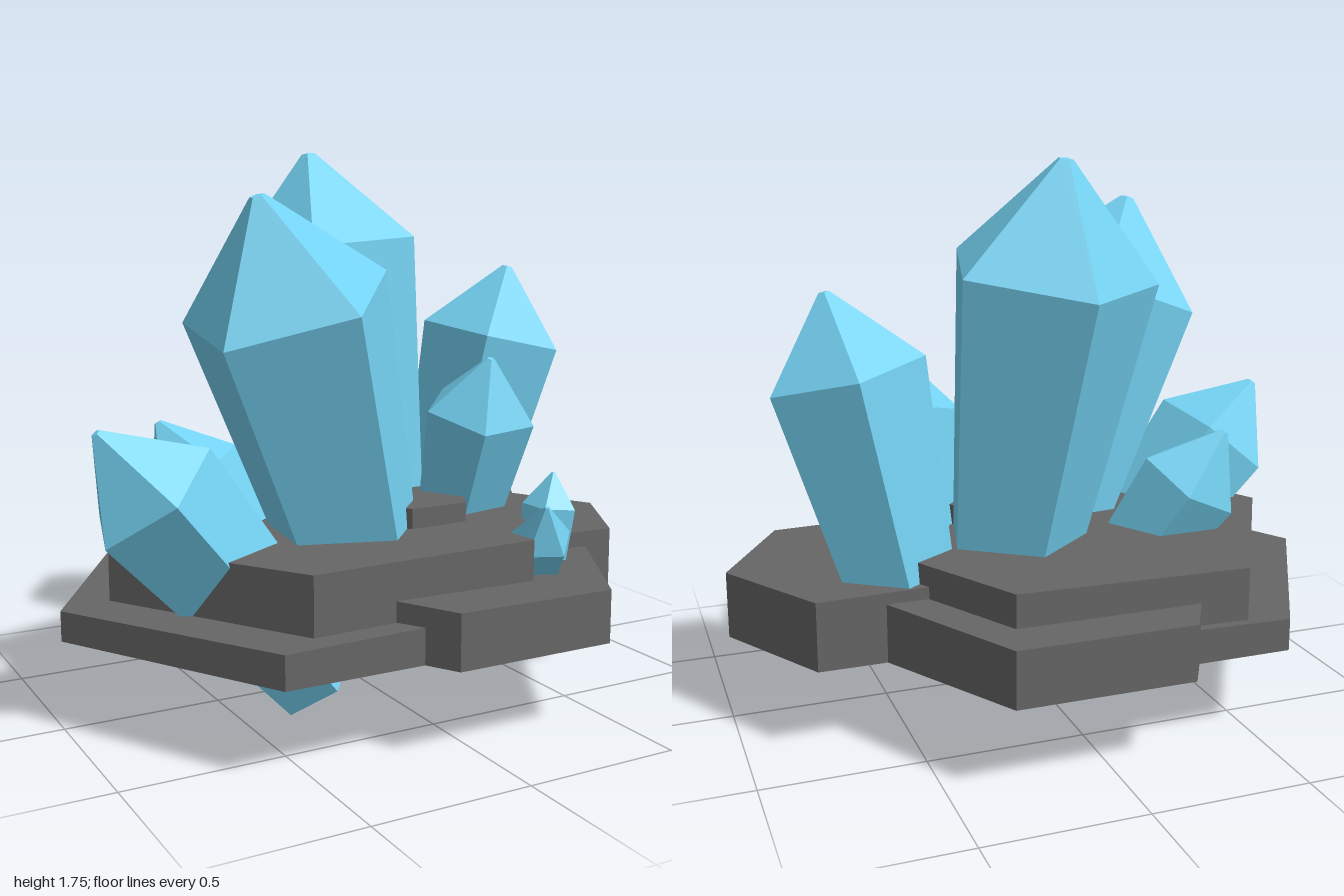
import * as THREE from 'three';

const crystalMaterial = new THREE.MeshStandardMaterial({ color: 0x74d2f2, flatShading: true });
const rockMaterial = new THREE.MeshStandardMaterial({ color: 0x666666, flatShading: true });

// Hexagonal rock slab with corners on the x axis and a slightly sloping top
function slab(name, x, z, radius, bottom, top, slopeX = 0, slopeZ = 0) {
  const height = top - bottom;
  const geometry = new THREE.CylinderGeometry(radius, radius, height, 6, 1, false, Math.PI / 6);
  const p = geometry.attributes.position;
  for (let i = 0; i < p.count; i++) {
    if (p.getY(i) > 0) p.setY(i, p.getY(i) + slopeX * p.getX(i) + slopeZ * p.getZ(i));
  }
  geometry.computeVertexNormals();
  const mesh = new THREE.Mesh(geometry, rockMaterial);
  mesh.name = name;
  mesh.position.set(x, bottom + height / 2, z);
  return mesh;
}

// Five-sided crystal: narrow foot, wide shoulder, blunt point; leans from foot to tip
function crystal(name, foot, tip, radius, footRadius, turn, shoulder = 0.77) {
  const start = new THREE.Vector3(...foot);
  const axis = new THREE.Vector3(...tip).sub(start);
  const length = axis.length();
  const tipRadius = radius * 0.07;
  const profile = [
    [0, 0], [footRadius, 0], [radius, shoulder * length], [tipRadius, length], [0, length],
  ].map(([r, y]) => new THREE.Vector2(r, y));
  const geometry = new THREE.LatheGeometry(profile, 5, THREE.MathUtils.degToRad(turn));
  const mesh = new THREE.Mesh(geometry, crystalMaterial);
  mesh.name = name;
  mesh.position.copy(start);
  mesh.quaternion.setFromUnitVectors(new THREE.Vector3(0, 1, 0), axis.normalize());
  return mesh;
}

export function createModel() {
  const model = new THREE.Group();
  model.name = 'crystalCluster';

  // Stepped rock base
  const base = new THREE.Group();
  base.name = 'rockBase';
  base.add(
    slab('leftSlab', -0.19, 0, 0.81, 0.285, 0.395, 0.02),
    slab('backSlab', 0.05, -0.33, 0.555, 0.285, 0.47, 0, 0.02),
    slab('rightSlab', 0.58, -0.01, 0.42, 0.285, 0.505, -0.02),
    slab('frontSlab', 0.165, 0.34, 0.53, 0.285, 0.457, -0.01, -0.01),
    slab('upperSlab', -0.095, -0.025, 0.745, 0.3, 0.568, 0.015, 0.01),
    slab('topStep', 0.14, 0.13, 0.2, 0.45, 0.638),
  );

  // Crystals growing through the base
  const crystals = new THREE.Group();
  crystals.name = 'crystals';
  crystals.add(
    crystal('tallCrystal', [0.13, 0.3, -0.12], [0.01, 1.755, -0.35], 0.335, 0.2, 40),
    crystal('leaningCrystal', [0, 0.21, 0.12], [-0.47, 1.6, 0.28], 0.335, 0.2, 12),
    crystal('rightCrystal', [0.46, 0.31, -0.2], [0.685, 1.37, -0.12], 0.25, 0.16, 34),
    crystal('frontCrystal', [0.36, 0.3, -0.02], [0.365, 1.09, 0.25], 0.185, 0.12, 46),
    crystal('leftCrystal', [-0.24, 0.1, 0.18], [-0.93, 0.935, 0.17], 0.22, 0.15, 0),
    crystal('backCrystal', [-0.16, 0.13, -0.03], [-0.58, 0.88, -0.28], 0.175, 0.11, 11),
    crystal('smallCrystal', [0.465, 0.22, 0.39], [0.505, 0.73, 0.41], 0.09, 0.06, 25, 0.79),
    crystal('smallLeaningCrystal', [0.43, 0.27, 0.4], [0.31, 0.68, 0.635], 0.095, 0.05, 10, 0.72),
  );

  model.add(base, crystals);
  return model;
}
